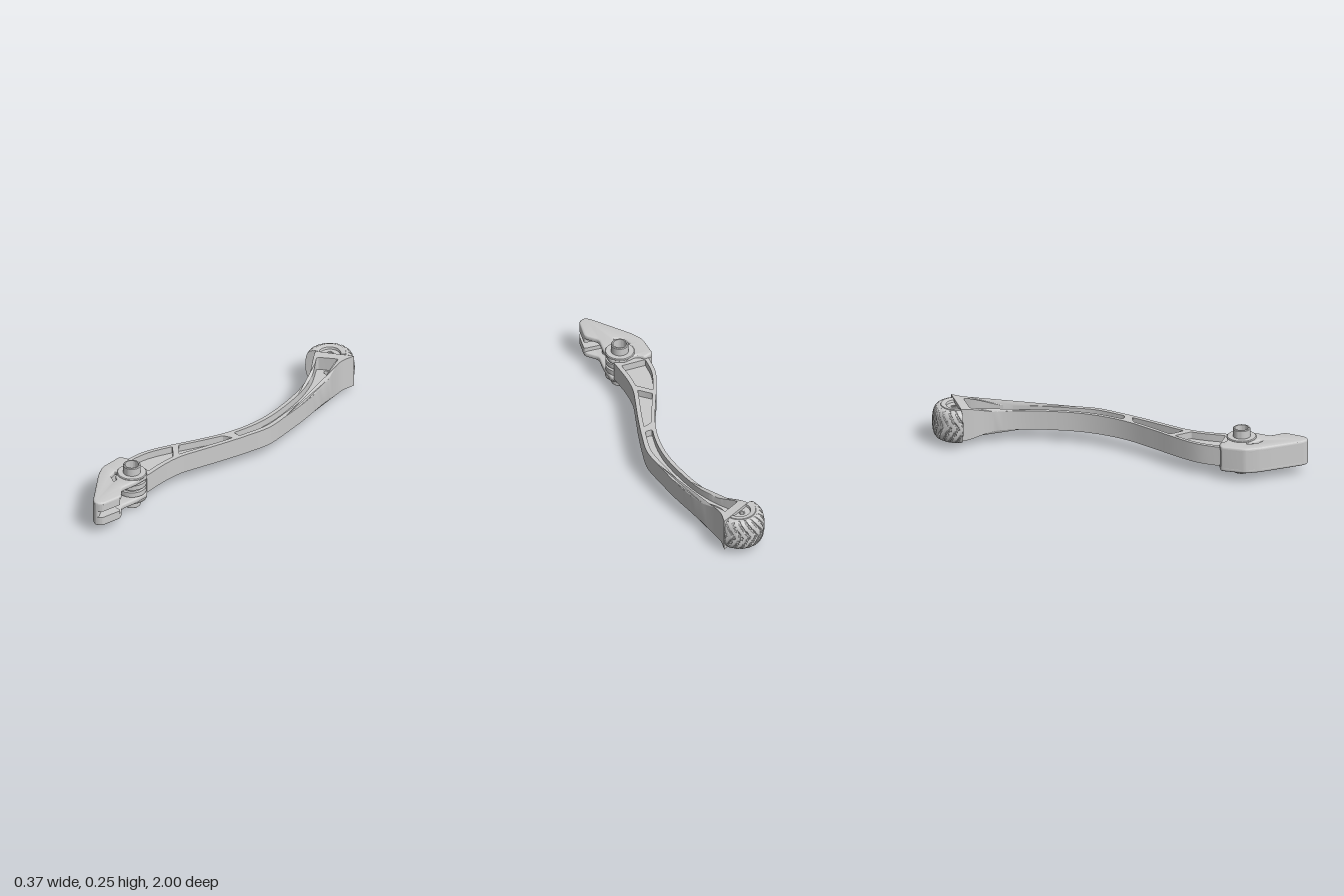
import * as THREE from 'three';
import { toCreasedNormals } from 'three/addons/utils/BufferGeometryUtils.js';

const material = new THREE.MeshStandardMaterial({ color: 0xcccccc, side: THREE.DoubleSide });
const MID = 0.1225;
const BOLT = [-0.028, 0.655];

function add(group, name, geometry, x = 0, y = 0, z = 0) {
  const mesh = new THREE.Mesh(geometry, material);
  mesh.name = name;
  mesh.position.set(x, y, z);
  group.add(mesh);
  return mesh;
}

// Closed plan path from [x, z] points, with corners rounded by r
function plan(points, r, Type = THREE.Shape) {
  const path = new Type();
  const pts = points.map(([x, z]) => new THREE.Vector2(x, -z));
  if (!r) return path.setFromPoints(pts);
  const n = pts.length;
  pts.forEach((p, i) => {
    const toward = (q) => p.clone().lerp(q, Math.min(0.48, r / p.distanceTo(q)));
    const a = toward(pts[(i + n - 1) % n]);
    const b = toward(pts[(i + 1) % n]);
    if (i) path.lineTo(a.x, a.y);
    else path.moveTo(a.x, a.y);
    path.quadraticCurveTo(p.x, p.y, b.x, b.y);
  });
  path.closePath();
  return path;
}

function circle(r, Type = THREE.Path) {
  const path = new Type();
  path.absarc(BOLT[0], -BOLT[1], r, 0, Math.PI * 2);
  return path;
}

// Plan shape extruded from y0 to y1
function slab(shape, holes, y0, y1, bevel = 0) {
  shape.holes = holes;
  const g = new THREE.ExtrudeGeometry(shape, {
    depth: y1 - y0 - 2 * bevel, curveSegments: 10, bevelEnabled: bevel > 0,
    bevelSize: bevel, bevelThickness: bevel, bevelOffset: -bevel, bevelSegments: 4,
  });
  g.rotateX(-Math.PI / 2).translate(0, y0 + bevel, 0);
  return toCreasedNormals(g, 0.5);
}

// Lathe around y from [radius, y] pairs, with sharp corners kept
const turned = (pts) => toCreasedNormals(
  new THREE.LatheGeometry(pts.map(([r, y]) => new THREE.Vector2(r, y)), 40), 0.5);

function smoothEdge(points) {
  return new THREE.CatmullRomCurve3(points.map(([x, z]) => new THREE.Vector3(x, 0, z)))
    .getPoints(60).map((p) => [p.x, p.z]);
}

function buildArm(group) {
  const left = smoothEdge([[-0.1, -0.835], [-0.075, -0.79], [-0.01, -0.69], [0.045, -0.556], [0.078, -0.4],
    [0.093, -0.24], [0.08, -0.1], [0.045, 0.03], [-0.024, 0.185], [-0.09, 0.32], [-0.14, 0.45], [-0.155, 0.6]]);
  const right = smoothEdge([[0.078, -0.935], [0.066, -0.85], [0.11, -0.69], [0.15, -0.5], [0.172, -0.32],
    [0.182, -0.175], [0.155, -0.05], [0.11, 0.106], [0.066, 0.24], [0.034, 0.345], [0.024, 0.45], [0.03, 0.6]]);
  const outline = [...left, ...right.slice().reverse()];

  // Pockets follow the arm edges at a fixed inset
  const inset = (edge, z0, z1, d) => {
    const out = [];
    for (let i = 0; i <= 24; i++) {
      const z = z0 + (z1 - z0) * i / 24;
      let k = edge.findIndex((p) => p[1] >= z);
      k = Math.max(1, k);
      const [a, b] = [edge[k - 1], edge[k]];
      out.push([a[0] + (b[0] - a[0]) * (z - a[1]) / (b[1] - a[1]) + d, z]);
    }
    return out;
  };
  const pockets = [
    [-0.8, -0.01, -0.86, -0.01], [0.05, 0.275, 0.03, 0.335], [0.305, 0.56, 0.375, 0.56],
  ].map(([l0, l1, r0, r1]) => plan(
    [...inset(left, l0, l1, 0.021), ...inset(right, r0, r1, -0.024).reverse()], 0.014, THREE.Path));

  // Rim and dividers, growing taller towards the wheel
  const rim = slab(plan(outline, 0), pockets, 0.07, 0.175);
  const pos = rim.attributes.position;
  for (let i = 0; i < pos.count; i++) {
    const flare = 1 + 0.74 * (1 - THREE.MathUtils.smoothstep(pos.getZ(i), -0.84, -0.65));
    pos.setY(i, MID + (pos.getY(i) - MID) * flare);
  }
  rim.deleteAttribute('normal');
  add(group, 'armRim', toCreasedNormals(rim, 0.5));

  // Thin web closing the pockets, with a small drain hole
  const hole = new THREE.Path();
  hole.absarc(0, 0.81, 0.014, 0, Math.PI * 2);
  const webOutline = outline.map(([x, z], i) => [x + (i < left.length ? 0.008 : -0.008), z]);
  add(group, 'armWeb', slab(plan(webOutline, 0), [hole], 0.108, 0.137));

  // Pivot lugs
  for (const [y0, y1, r] of [[0.088, 0.115, 0.076], [0.115, 0.13, 0.06], [0.13, 0.157, 0.076]]) {
    add(group, 'pivotLug', slab(circle(r, THREE.Shape), [circle(0.042)], y0, y1));
  }
}

function buildBracket(group) {
  const plate = [[-0.13, 0.562], [-0.183, 0.58], [-0.183, 0.715], [-0.15, 0.78], [0, 0.985], [0.03, 1],
    [0.062, 0.98], [0.085, 0.86], [0.03, 0.795], [0.045, 0.7], [0.045, 0.61], [-0.02, 0.578],
    [-0.09, 0.595], [-0.115, 0.58]];
  const slot = [[-0.105, 0.7], [-0.09, 0.75], [-0.045, 0.775], [-0.045, 0.755], [-0.075, 0.73], [-0.09, 0.7]];
  for (const [name, y0] of [['lowerPlate', 0.053], ['upperPlate', 0.163]]) {
    add(group, name, slab(plan(plate, 0.02), [circle(0.042), plan(slot, 0.006, THREE.Path)], y0, y0 + 0.03, 0.01));
  }
  // Side wall joining the plates
  const wall = [[-0.183, 0.58], [-0.183, 0.715], [-0.15, 0.78], [0, 0.985], [0.03, 1], [0.045, 0.99],
    [0, 0.91], [-0.11, 0.765], [-0.148, 0.7], [-0.148, 0.58]];
  add(group, 'bracketWall', slab(plan(wall, 0.015), [], 0.064, 0.182));
  // Tip halves with a slot between them
  const tip = [[-0.06, 0.85], [0, 0.985], [0.03, 1], [0.062, 0.98], [0.085, 0.86]];
  for (const [y0, y1] of [[0.064, 0.105], [0.141, 0.182]]) {
    add(group, 'bracketTip', slab(plan(tip, 0.015), [], y0, y1));
  }
  add(group, 'stopPin', new THREE.CylinderGeometry(0.018, 0.018, 0.11, 20), -0.015, MID, 0.81);
}

function buildPivot(group) {
  const [x, z] = BOLT;
  add(group, 'pivotTube', turned([[0.035, 0], [0.042, 0], [0.046, 0.004], [0.046, 0.241], [0.042, 0.245],
    [0.035, 0.245], [0.035, 0]]), x, 0, z);
  for (const y of [0.046, 0.185]) {
    add(group, 'pivotCollar', turned([[0.044, y], [0.074, y], [0.078, y + 0.004], [0.078, y + 0.01],
      [0.074, y + 0.014], [0.044, y + 0.014]]), x, 0, z);
  }
}

function buildWheel(group) {
  const wheel = new THREE.Group();
  wheel.name = 'halfWheel';
  wheel.position.set(-0.036, MID, -0.874);
  const facing = Math.atan2(-0.49, -0.87);
  const R = 0.131;

  // Side profile: dished hub, ring step, rounded shoulder and tread
  const hub = [[0.001, 0.078], [0.055, 0.078], [0.058, 0.09], [0.084, 0.094], [0.086, 0.09], [0.09, 0.09]]
    .map(([r, y]) => new THREE.Vector2(r, y));
  const shoulder = new THREE.SplineCurve([[0.093, 0.09], [0.11, 0.082], [0.122, 0.064], [0.128, 0.038], [R, 0]]
    .map(([r, y]) => new THREE.Vector2(r, y))).getPoints(16);
  const upper = [...hub, ...shoulder];
  const lower = upper.slice(0, -1).map((p) => new THREE.Vector2(p.x, -p.y));
  const profile = [...lower, ...upper.slice().reverse()];

  // Chevron grooves pressed into the tread
  const tyre = new THREE.LatheGeometry(profile, 200, facing - Math.PI / 2, Math.PI);
  const pos = tyre.attributes.position;
  for (let i = 0; i < pos.count; i++) {
    const [x, y, z] = [pos.getX(i), pos.getY(i), pos.getZ(i)];
    const r = Math.hypot(x, z);
    if (r < 0.1) continue;
    const wave = Math.cos((Math.atan2(x, z) + Math.abs(y) * 5) * 20);
    const s = 1 - 0.005 * THREE.MathUtils.smoothstep(wave, 0.45, 0.8) / r;
    pos.setXYZ(i, x * s, y, z * s);
  }
  add(wheel, 'treadedTyre', toCreasedNormals(tyre, 0.6));

  // Flat cut face
  const half = profile.map((p) => [p.x, p.y]);
  const face = new THREE.Shape([...half, ...half.map(([r, y]) => [-r, y]).reverse()]
    .map(([r, y]) => new THREE.Vector2(r, y)));
  add(wheel, 'cutFace', new THREE.ShapeGeometry(face)).rotation.y = facing + Math.PI;

  // Hub buttons
  for (const s of [1, -1]) {
    const button = add(wheel, 'hubButton', new THREE.TorusGeometry(0.012, 0.004, 8, 24), -0.008, s * 0.078, -0.014);
    button.rotation.x = Math.PI / 2;
  }
  group.add(wheel);
}

export function createModel() {
  const group = new THREE.Group();
  group.name = 'lever';
  buildArm(group);
  buildBracket(group);
  buildPivot(group);
  buildWheel(group);
  return group;
}
